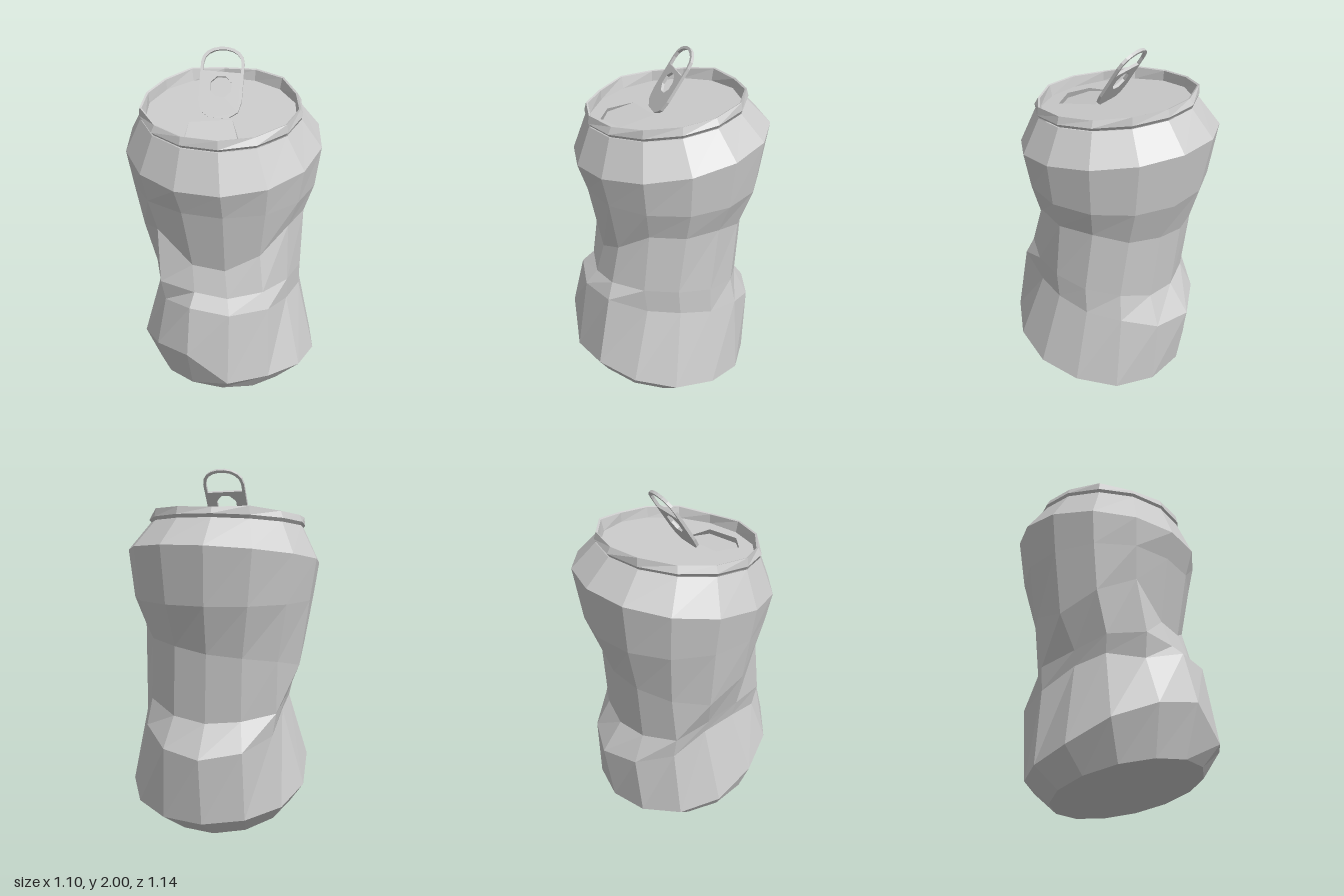
import * as THREE from 'three';

const SIDES = 14, PHASE = 0.112;
const grey = new THREE.MeshStandardMaterial({ color: 0xcccccc, flatShading: true, side: THREE.DoubleSide });
const pick = (v, k) => (Array.isArray(v) ? v[k] : v);

// Corners of one crushed ring: y and r are single values or one per corner;
// tx and tz tilt the ring, dy adds a per-corner height.
function ring({ y, r, cx = 0, cz = 0, tx = 0, tz = 0, dy = 0 }) {
  return Array.from({ length: SIDES }, (_, k) => {
    const a = PHASE + (k / SIDES) * Math.PI * 2;
    const x = cx + pick(r, k) * Math.cos(a), z = cz + pick(r, k) * Math.sin(a);
    return new THREE.Vector3(x, pick(y, k) + pick(dy, k) + tx * x + tz * z, z);
  });
}

// Joins a stack of rings, lowest first, into a faceted skin
function skin(name, rings) {
  const pts = [];
  for (let i = 0; i < rings.length - 1; i++) {
    for (let k = 0; k < SIDES; k++) {
      const n = (k + 1) % SIDES;
      const p = rings[i][k], q = rings[i][n], P = rings[i + 1][k], Q = rings[i + 1][n];
      pts.push(p, P, q, q, P, Q);
    }
  }
  const geo = new THREE.BufferGeometry().setFromPoints(pts);
  geo.computeVertexNormals();
  const mesh = new THREE.Mesh(geo, grey);
  mesh.name = name;
  return mesh;
}

// Flat plate drawn in x and z, lifted to a height rule
function plate(name, outline, height, hole) {
  const flat = (pts) => pts.map(([x, z]) => new THREE.Vector2(x, -z));
  const shape = new THREE.Shape(flat(outline));
  if (hole) shape.holes.push(new THREE.Path(flat(hole)));
  const geo = new THREE.ShapeGeometry(shape).rotateX(-Math.PI / 2);
  const pos = geo.attributes.position;
  for (let i = 0; i < pos.count; i++) pos.setY(i, height(pos.getX(i), pos.getZ(i)));
  geo.computeVertexNormals();
  const mesh = new THREE.Mesh(geo, grey);
  mesh.name = name;
  return mesh;
}

// Pull tab: rounded strip with a finger loop and a rivet hole
function pullTab() {
  const w = 0.115;
  const shape = new THREE.Shape();
  shape.moveTo(-0.05, 0);
  shape.lineTo(0.05, 0);
  shape.lineTo(0.1, 0.035);
  shape.lineTo(w, 0.09);
  shape.lineTo(w, 0.29);
  shape.bezierCurveTo(w, 0.405, -w, 0.405, -w, 0.29);
  shape.lineTo(-w, 0.09);
  shape.lineTo(-0.1, 0.035);
  shape.closePath();

  const loop = new THREE.Path();
  loop.moveTo(-0.1, 0.247);
  loop.lineTo(0.1, 0.24);
  loop.lineTo(0.1, 0.29);
  loop.bezierCurveTo(0.095, 0.385, -0.095, 0.385, -0.1, 0.29);
  loop.closePath();

  const rivet = new THREE.Path();
  for (let i = 0; i < 8; i++) {
    const a = ((i + 0.5) / 8) * Math.PI * 2;
    rivet[i ? 'lineTo' : 'moveTo'](0.06 * Math.cos(a), 0.165 + 0.058 * Math.sin(a));
  }
  rivet.closePath();
  shape.holes.push(loop, rivet);

  const geo = new THREE.ExtrudeGeometry(shape, { depth: 0.016, bevelEnabled: false, curveSegments: 9 });
  const mesh = new THREE.Mesh(geo, grey);
  mesh.name = 'pullTab';
  mesh.position.set(-0.035, 1.68, 0.05);
  mesh.rotation.x = -0.579;
  return mesh;
}

export function createModel() {
  const can = new THREE.Group();
  can.name = 'crushedCan';

  // Body: tilted base, bulge, crumpled waist, shoulder and neck
  const base = { y: 0.072, cz: 0.08, tx: -0.03, tz: 0.23 };
  const neck = { cx: -0.03, cz: -0.015, tz: -0.11 };
  const bulge = {
    cx: 0.03,
    y: [0.67, 0.68, 0.74, 0.73, 0.74, 0.68, 0.72, 0.68, 0.58, 0.53, 0.5, 0.52, 0.6, 0.63],
    r: [0.41, 0.41, 0.49, 0.5, 0.5, 0.47, 0.42, 0.4, 0.46, 0.51, 0.53, 0.49, 0.45, 0.42],
  };
  const waist = {
    cz: -0.03,
    y: [1.15, 1.15, 1.03, 0.94, 0.95, 1.13, 1.05, 0.95, 1.0, 1.03, 1.05, 1.08, 1.1, 1.15],
    r: [0.44, 0.43, 0.43, 0.41, 0.41, 0.47, 0.48, 0.47, 0.46, 0.43, 0.41, 0.41, 0.42, 0.43],
  };
  // the pinch takes the tighter of its two neighbours
  const pinch = {
    cx: 0.02, cz: 0.01,
    y: bulge.y.map((y, k) => THREE.MathUtils.lerp(y, waist.y[k], 0.3)),
    r: bulge.r.map((r, k) => Math.min(r, waist.r[k]) + 0.01),
  };
  const chest = { cx: -0.01, cz: -0.04, y: 1.31, r: waist.r.map((r) => THREE.MathUtils.lerp(r, 0.54, 0.6)) };
  const body = [
    { ...base, r: 0 },
    { ...base, r: 0.405 },
    {
      cx: 0.03, cz: 0.045, r: 0.525,
      y: [0.23, 0.28, 0.32, 0.3, 0.46, 0.42, 0.34, 0.23, 0.17, 0.14, 0.12, 0.12, 0.14, 0.19],
    },
    bulge, pinch, waist, chest,
    { cx: -0.02, cz: -0.04, y: 1.53, tx: 0.02, tz: -0.15, r: 0.535 },
    { ...neck, y: 1.7, r: 0.43 },
  ];
  can.add(skin('body', body.map(ring)));

  // Rim: thin folded lip with a crumpled edge, dropping to the lid
  const lidHeight = (x, z) => 1.695 - 0.11 * z;
  const lidEdge = ring({ ...neck, y: 1.695, r: 0.405 });
  const crumple = Array.from({ length: SIDES }, (_, k) => Math.sin(k * 2.3));
  const lipDrop = crumple.map((c) => 0.006 * c);
  can.add(skin('rim', [
    ring({ ...neck, y: 1.7, r: 0.422 }),
    ring({ ...neck, y: 1.718, r: 0.436 }),
    ring({ ...neck, y: 1.757, r: crumple.map((c) => 0.423 + 0.008 * c), dy: lipDrop }),
    ring({ ...neck, y: 1.753, r: crumple.map((c) => 0.413 + 0.008 * c), dy: lipDrop }),
    lidEdge,
  ]));

  // Lid with its mouth opening, and the flap hinged slightly inward
  const mouth = [[-0.18, 0.12], [-0.175, 0.27], [-0.06, 0.335], [0.1, 0.27], [0.04, 0.07]];
  can.add(plate('lid', lidEdge.map((p) => [p.x, p.z]), lidHeight, mouth));
  can.add(plate('mouthFlap', mouth, (x, z) => lidHeight(x, z) - 0.12 * Math.max(0, z - 0.08 + 0.23 * x)));

  can.add(pullTab());
  return can;
}
